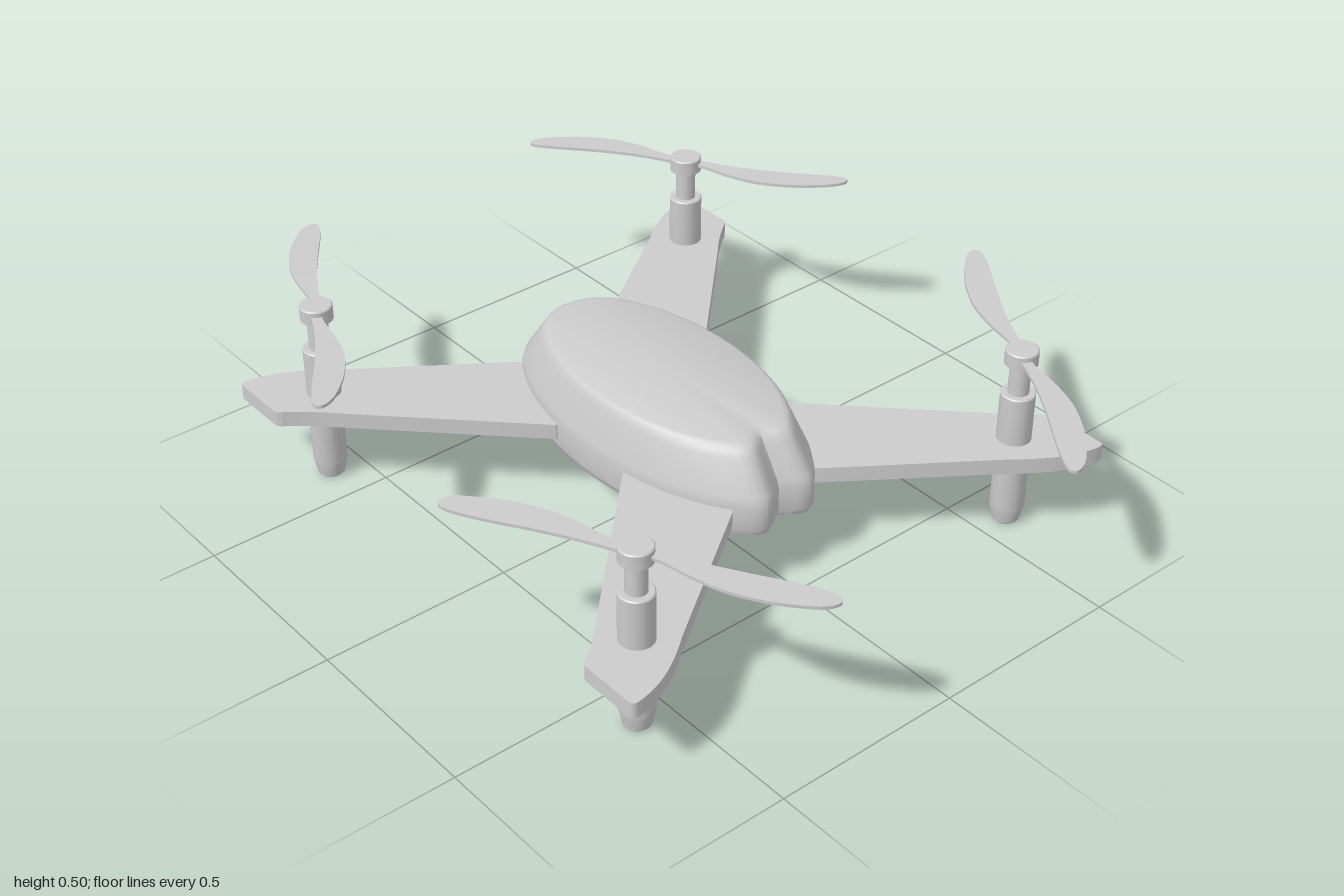
import * as THREE from 'three';
import { toCreasedNormals, mergeVertices } from 'three/addons/utils/BufferGeometryUtils.js';

const grey = new THREE.MeshStandardMaterial({ color: 0xcccccc });
const MOTOR_X = 0.615, MOTOR_Z = 0.587;

// Lofts one outline through rows of [scale, y]; scale 0 closes an end
function createBody() {
  const half = [[0.443, 0.035], [0.456, 0.07], [0.4, 0.13], [0.31, 0.182], [0.18, 0.222], [0, 0.24],
    [-0.18, 0.222], [-0.31, 0.182], [-0.41, 0.125], [-0.457, 0.06]];
  const points = [[0.42, 0], ...half, [-0.47, 0], ...half.slice().reverse().map(([x, z]) => [x, -z])];
  const outline = new THREE.CatmullRomCurve3(points.map(([x, z]) => new THREE.Vector3(x, 0, z)), true)
    .getSpacedPoints(120).slice(0, 120);
  const rows = [[0, 0.165], [0.955, 0.165], [0.985, 0.171], [1, 0.187], [1, 0.25], [0.985, 0.272],
    [0.865, 0.352], [0.843, 0.367], [0.815, 0.376], [0.78, 0.38], [0, 0.38]];
  const positions = [], index = [], n = outline.length;
  rows.forEach(([s, y]) => outline.forEach(p => positions.push(p.x * s, y, p.z * s)));
  for (let r = 0; r < rows.length - 1; r++) {
    for (let i = 0; i < n; i++) {
      const a = r * n + i, b = r * n + (i + 1) % n, c = a + n, d = b + n;
      if (rows[r][0] > 0) index.push(a, c, b);
      if (rows[r + 1][0] > 0) index.push(b, c, d);
    }
  }
  const geometry = new THREE.BufferGeometry();
  geometry.setAttribute('position', new THREE.Float32BufferAttribute(positions, 3));
  geometry.setIndex(index);
  return toCreasedNormals(geometry, 0.7);
}

// Flat arm, widening into the body, with a blunt tip behind the motor
function createArm() {
  const shape = new THREE.Shape();
  shape.moveTo(0.1, 0.1);
  shape.lineTo(0.13, 0.235);
  shape.lineTo(0.5, 0.605);
  shape.quadraticCurveTo(0.56, 0.66, 0.6, 0.715);
  shape.quadraticCurveTo(0.607, 0.73, 0.625, 0.73);
  shape.lineTo(0.765, 0.73);
  shape.quadraticCurveTo(0.777, 0.73, 0.777, 0.715);
  shape.bezierCurveTo(0.77, 0.65, 0.74, 0.59, 0.675, 0.51);
  shape.lineTo(0.41, 0.135);
  shape.lineTo(0.3, 0.05);
  const geometry = new THREE.ExtrudeGeometry(shape, { depth: 0.042, bevelEnabled: false, curveSegments: 10 });
  return toCreasedNormals(geometry.rotateX(Math.PI / 2).translate(0, 0.243, 0), 0.5);
}

// Swept blade: a thin box mapped between two edge curves, then bent along x
function createBlade(turn) {
  const curve = list => new THREE.SplineCurve(list.map(([x, z]) => new THREE.Vector2(x, z)));
  const leading = curve([[0.01, -0.025], [0.05, -0.042], [0.12, -0.08], [0.2, -0.132], [0.29, -0.197],
    [0.345, -0.232], [0.372, -0.241], [0.384, -0.232]]);
  const trailing = curve([[0.02, 0.0], [0.06, -0.016], [0.14, -0.034], [0.22, -0.062], [0.3, -0.115],
    [0.36, -0.175], [0.38, -0.205], [0.385, -0.225]]);
  const geometry = new THREE.BoxGeometry(1, 0.008, 1, 32, 1, 4);
  const pos = geometry.attributes.position;
  for (let i = 0; i < pos.count; i++) {
    const t = pos.getX(i) + 0.5, v = pos.getZ(i) + 0.5;
    const p = leading.getPoint(t).lerp(trailing.getPoint(t), v);
    const bend = -0.02 * (p.x / 0.385) ** 2 * turn;
    pos.setXYZ(i, p.x * turn, pos.getY(i) + 0.479 + bend, p.y * turn);
  }
  geometry.computeVertexNormals();
  return geometry.translate(MOTOR_X, 0, MOTOR_Z);
}

// Turned part on the motor axis from [radius, y] points
function createTurned(profile) {
  const geometry = new THREE.LatheGeometry(profile.map(([r, y]) => new THREE.Vector2(r, y)), 32);
  return toCreasedNormals(geometry, 0.25).translate(MOTOR_X, 0, MOTOR_Z);
}

// Reflects a part into another corner, keeping faces outward
function mirrored(source, sx, sz) {
  const geometry = mergeVertices(source.clone().scale(sx, 1, sz));
  if (sx * sz < 0) {
    const index = geometry.index;
    for (let i = 0; i < index.count; i += 3) {
      const b = index.getX(i + 1);
      index.setX(i + 1, index.getX(i + 2));
      index.setX(i + 2, b);
    }
  }
  return geometry;
}

export function createModel() {
  const model = new THREE.Group();
  model.name = 'quadcopter';
  const add = (parent, name, geometry) => {
    const mesh = new THREE.Mesh(geometry, grey);
    mesh.name = name;
    parent.add(mesh);
  };
  add(model, 'body', createBody());

  // Parts of the front left corner
  const parts = {
    arm: createArm(),
    motor: createTurned([[0, 0], [0.03, 0], [0.034, 0.004], [0.043, 0.045], [0.043, 0.372], [0.04, 0.375], [0, 0.375]]),
    shaft: createTurned([[0, 0.36], [0.026, 0.36], [0.026, 0.47], [0, 0.47]]),
    hub: createTurned([[0, 0.458], [0.041, 0.458], [0.041, 0.494], [0.038, 0.497], [0, 0.497]]),
    outerBlade: createBlade(1),
    innerBlade: createBlade(-1),
  };

  for (const sx of [1, -1]) {
    for (const sz of [1, -1]) {
      const corner = new THREE.Group();
      corner.name = (sz > 0 ? 'front' : 'back') + (sx > 0 ? 'Left' : 'Right') + 'Rotor';
      for (const [name, geometry] of Object.entries(parts)) add(corner, name, mirrored(geometry, sx, sz));
      model.add(corner);
    }
  }
  return model;
}
